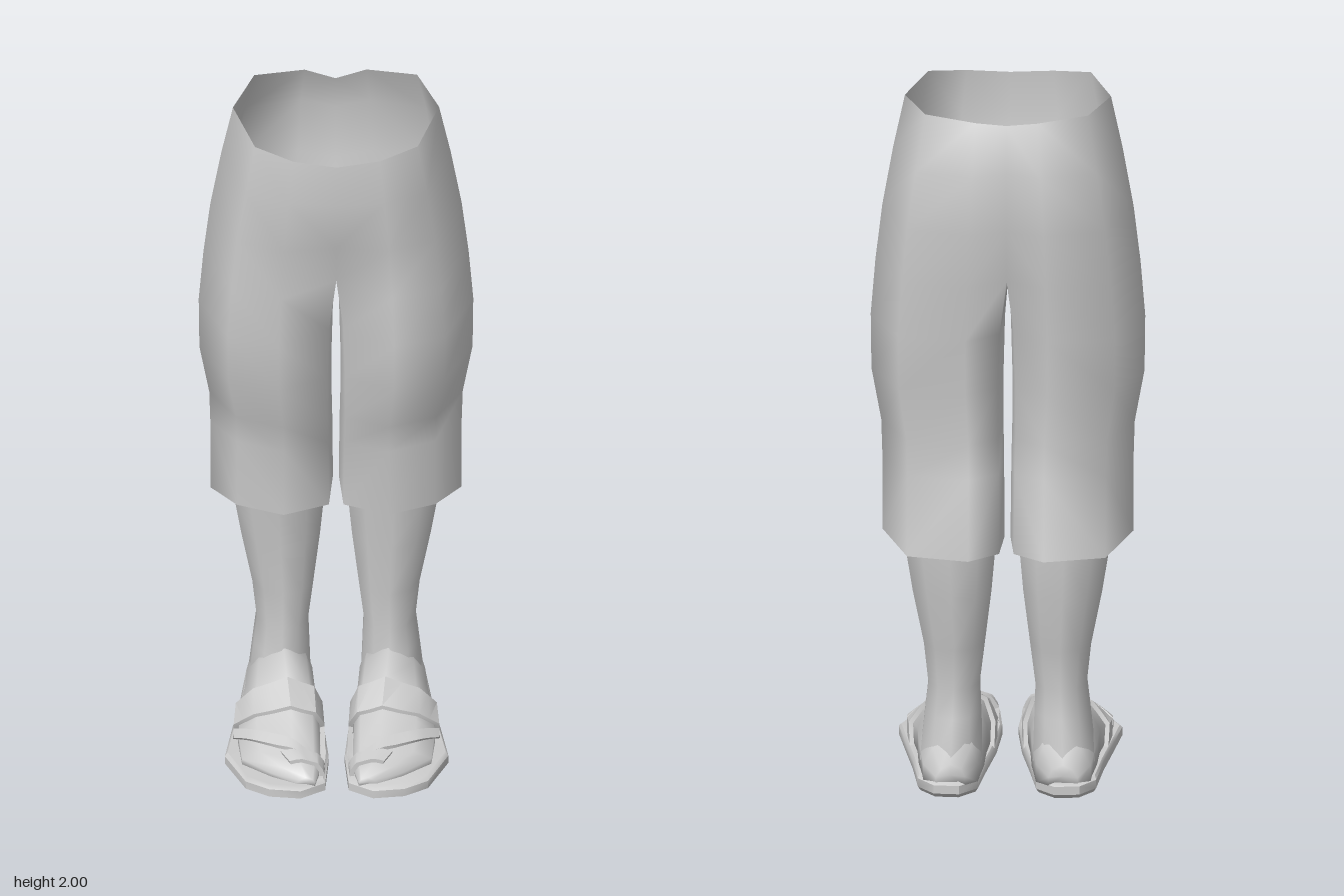
import * as THREE from 'three';
import { mergeGeometries, mergeVertices, toCreasedNormals } from 'three/addons/utils/BufferGeometryUtils.js';

// Skin through rings of [x, y, z] points; closed rings wrap, capped ones get end fans
function loft(rings, { closed = true, capStart = false, capEnd = false, skip = () => false } = {}) {
  const n = rings[0].length, pos = rings.flat(2), index = [];
  for (let i = 0; i < rings.length - 1; i++) {
    for (let j = 0; j < (closed ? n : n - 1); j++) {
      if (skip(i, j)) continue;
      const k = (j + 1) % n, a = i * n + j, b = a + n, c = i * n + k, d = c + n;
      index.push(a, b, c, b, d, c);
    }
  }
  const cap = (ring, row, flip) => {
    const mid = [0, 1, 2].map(q => ring.reduce((s, p) => s + p[q], 0) / n);
    const m = pos.length / 3;
    pos.push(...mid);
    for (let j = 0; j < n; j++) {
      const a = row * n + j, b = row * n + (j + 1) % n;
      index.push(m, flip ? b : a, flip ? a : b);
    }
  };
  if (capStart) cap(rings[0], 0, false);
  if (capEnd) cap(rings[rings.length - 1], rings.length - 1, true);
  const g = new THREE.BufferGeometry();
  g.setAttribute('position', new THREE.Float32BufferAttribute(pos, 3));
  g.setIndex(index);
  g.computeVertexNormals();
  return g;
}

// Mirror across x = 0 and turn the faces back outwards
function mirrored(geometry) {
  const g = geometry.clone().scale(-1, 1, 1);
  const source = g.index ? g : mergeVertices(g);
  const id = source.index.array;
  for (let i = 0; i < id.length; i += 3) [id[i], id[i + 1]] = [id[i + 1], id[i]];
  source.computeVertexNormals();
  return source;
}

// Shorts: y, half width, front z, back z, front centre z, back centre z, inner x
const SHORTS = [
  [2.0, 0.283, 0.135, -0.3, 0.15, -0.28, 0],
  [1.85, 0.315, 0.145, -0.355, 0.155, -0.325, 0],
  [1.68, 0.345, 0.13, -0.355, 0.115, -0.325, 0],
  [1.52, 0.364, 0.13, -0.34, 0.04, -0.28, 0],
  [1.36, 0.377, 0.13, -0.33, 0.045, -0.265, 0.008],
  [1.2, 0.375, 0.11, -0.315, 0.045, -0.255, 0.012],
  [1.05, 0.348, 0.07, -0.31, 0.025, -0.255, 0.012],
  [0.95, 0.345, 0.043, -0.32, 0.0, -0.265, 0.01],
  [0.73, 0.345, 0.03, -0.365, -0.02, -0.3, 0.008],
];
const CROTCH = 3;

function shortsGeometry() {
  const rings = SHORTS.map(([y, w, f, b, cf, cb, xi], i) => {
    const dip = i === 0 ? 0.025 : 0;
    const side = i > CROTCH ? xi + 0.012 : 0;
    return [
      [side, y - dip, cf], [0.42 * w, y - dip * 0.6, f], [0.79 * w, y, f - 0.05],
      [w, y, -0.105], [0.79 * w, y, b + 0.04], [0.3 * w, y - dip * 0.4, b],
      [side, y - dip, cb], [xi, i === CROTCH ? y - 0.06 : y, (cf + cb) / 2],
    ];
  });
  // Above the crotch only the outer arc exists
  const half = loft(rings, { skip: (i, j) => i < CROTCH && j >= 6 });
  const both = mergeGeometries([half, mirrored(half)]);
  both.deleteAttribute('normal');
  const welded = mergeVertices(both, 1e-4);
  welded.computeVertexNormals();
  return welded;
}

// Lower leg: y, centre x, centre z, x radius, z radius
const LEG = [
  [0.8, 0.16, -0.135, 0.134, 0.14], [0.72, 0.157, -0.138, 0.132, 0.135],
  [0.58, 0.152, -0.142, 0.114, 0.122], [0.42, 0.146, -0.133, 0.088, 0.105],
  [0.3, 0.147, -0.127, 0.074, 0.094], [0.22, 0.15, -0.128, 0.08, 0.112], [0.08, 0.155, -0.132, 0.09, 0.132],
];
const legGeometry = () => loft(LEG.map(([y, cx, cz, rx, rz]) =>
  Array.from({ length: 10 }, (_, j) => {
    const a = j / 10 * Math.PI * 2;
    return [cx + rx * Math.sin(a), y, cz + rz * Math.cos(a)];
  })));

// Foot: z, inner x, outer x, top y, x of the ridge
const FOOT = [
  [-0.265, 0.115, 0.195, 0.1, 0.155], [-0.235, 0.08, 0.23, 0.17, 0.155],
  [-0.12, 0.065, 0.245, 0.23, 0.15], [-0.03, 0.06, 0.25, 0.25, 0.145],
  [0.06, 0.05, 0.265, 0.202, 0.135], [0.15, 0.046, 0.27, 0.155, 0.125],
  [0.25, 0.045, 0.26, 0.11, 0.12], [0.31, 0.05, 0.18, 0.095, 0.1], [0.345, 0.06, 0.11, 0.07, 0.085],
];
// Arch over the foot: share towards the side, share of height
const ARCH = [[-1, 0], [-1, 0.4], [-0.75, 0.78], [0, 1], [0.65, 0.74], [1, 0.38], [1, 0]];
const BASE = 0.04;

// Point on the foot at depth z; t runs 0..1 from inner to outer side
function footPoint(z, t, off = 0) {
  let i = 0;
  while (i < FOOT.length - 2 && z > FOOT[i + 1][0]) i++;
  const k = (z - FOOT[i][0]) / (FOOT[i + 1][0] - FOOT[i][0]);
  const [, x0, x1, top, ridge] = FOOT[i].map((v, q) => v + (FOOT[i + 1][q] - v) * k);
  const u = t * (ARCH.length - 1), m = Math.min(Math.floor(u), ARCH.length - 2);
  const [s, h] = ARCH[m].map((v, q) => v + (ARCH[m + 1][q] - v) * (u - m));
  const x = s < 0 ? ridge + s * (ridge - x0) : ridge + s * (x1 - ridge);
  return [x + s * off, BASE + (top - BASE) * h + h * off, z];
}
const footGeometry = () => loft(
  FOOT.map(([z]) => ARCH.map((_, j) => footPoint(z, j / (ARCH.length - 1)))),
  { capStart: true, capEnd: true });

// Strap lying on the foot from [z, t] to [z, t], with an optional forward bow
function strapGeometry([z0, t0], [z1, t1], width, bow = 0) {
  const rings = [];
  for (let i = 0; i <= 12; i++) {
    const k = i / 12, t = t0 + (t1 - t0) * k;
    const z = z0 + (z1 - z0) * k + bow * Math.sin(Math.PI * k);
    const a = z - width / 2, b = z + width / 2;
    rings.push([footPoint(a, t, 0.002), footPoint(a, t, 0.014), footPoint(b, t, 0.014), footPoint(b, t, 0.002)]);
  }
  return toCreasedNormals(loft(rings, { capStart: true, capEnd: true }), 0.7);
}

// Sandal sole outline, [x, z], from the toe round the outer side
const SOLE = [
  [0.1, 0.37], [0.185, 0.36], [0.25, 0.322], [0.307, 0.2], [0.288, 0.08], [0.262, -0.08], [0.245, -0.22],
  [0.2, -0.275], [0.13, -0.28], [0.08, -0.23], [0.06, -0.1], [0.035, 0.05], [0.022, 0.2], [0.032, 0.33],
];
const soleGeometry = () => toCreasedNormals(loft(
  [[0.05, 0.95], [0.042, 1], [0.018, 1], [0, 0.92]].map(([y, s]) =>
    SOLE.map(([x, z]) => [0.16 + (x - 0.16) * s, y, 0.04 + (z - 0.04) * s])),
  { capStart: true, capEnd: true }), 0.75);

export function createModel() {
  const model = new THREE.Group();
  const material = new THREE.MeshStandardMaterial({ color: 0xcccccc, side: THREE.DoubleSide });
  const add = (parent, name, geometry) => {
    const mesh = new THREE.Mesh(geometry, material);
    mesh.name = name;
    parent.add(mesh);
  };
  add(model, 'shorts', shortsGeometry());

  const parts = {
    LowerLeg: legGeometry(),
    Foot: footGeometry(),
    SandalSole: soleGeometry(),
    InstepStrap: strapGeometry([0.06, 0], [0.06, 1], 0.08, 0.045),
    DiagonalStrap: strapGeometry([0.13, 0.92], [0.285, 0.4], 0.035),
    InnerStrap: strapGeometry([0.12, 0.12], [0.28, 0.16], 0.03),
    ToeStrap: strapGeometry([0.29, 0], [0.29, 0.58], 0.038),
  };
  for (const side of ['left', 'right']) {
    const leg = new THREE.Group();
    leg.name = side + 'Leg';
    for (const [name, g] of Object.entries(parts)) add(leg, side + name, side === 'left' ? g : mirrored(g));
    model.add(leg);
  }
  return model;
}
